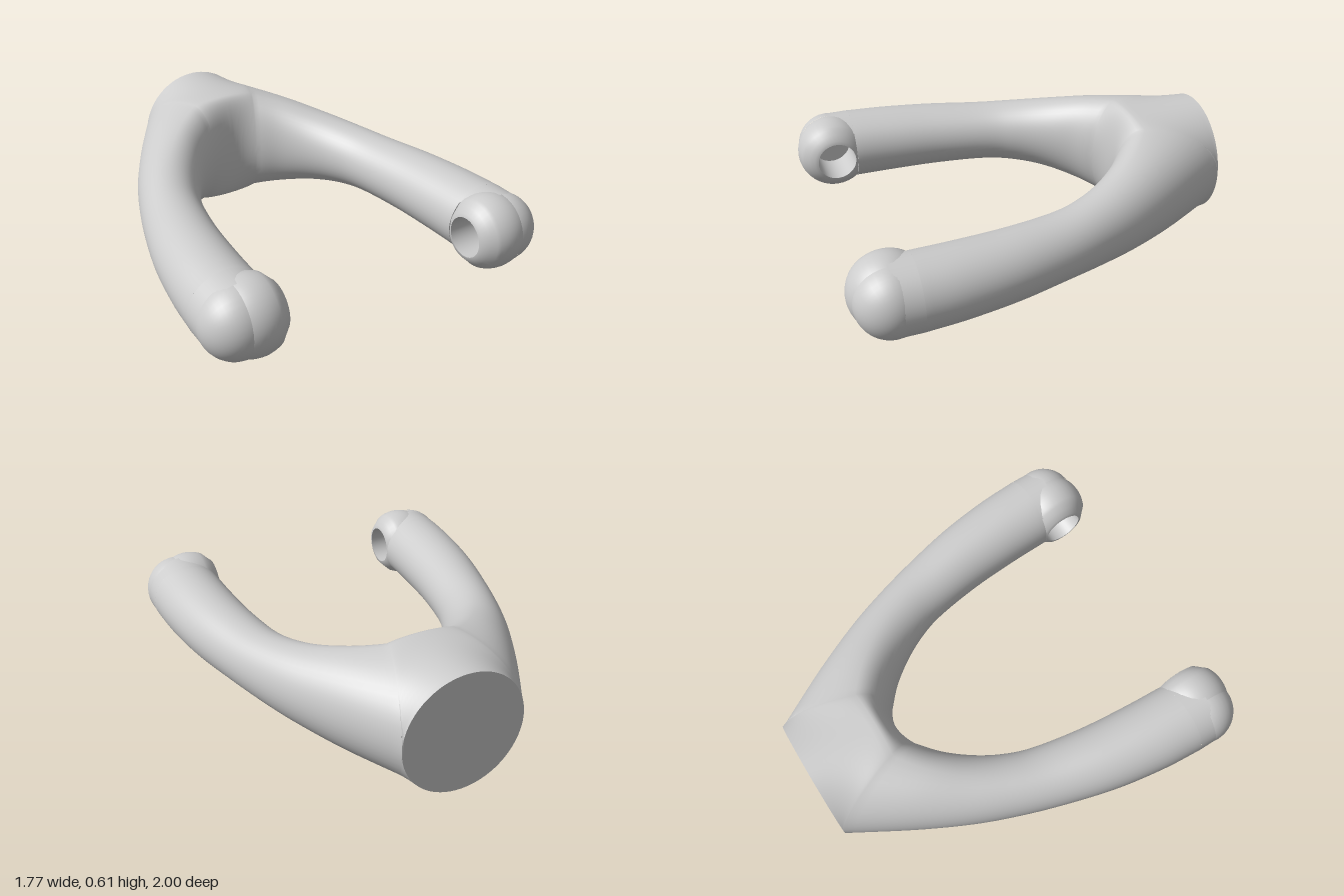
import * as THREE from 'three';
import { toCreasedNormals } from 'three/addons/utils/BufferGeometryUtils.js';

const MID = 0.309;       // height of the symmetry plane
const BACK_RX = 0.305;   // half width of the flat back disc
const BACK_RY = 0.307;   // half height of the flat back disc
const LEG_END = 0.705;   // z where the leg skin opens around the socket
const ARC = 12;          // points per quarter of a cross-section
const material = new THREE.MeshStandardMaterial({ color: 0xcccccc });
const lerp = THREE.MathUtils.lerp;

// One cross-section running from inner edge I over the ridge (at fraction a,
// half height h) to outer edge O, and back underneath. phi < PI/2 leaves the
// outer end cut open where it meets the flat back; blend pulls the outer
// end towards the back disc's height.
function section({ I, O, h, a, phi = Math.PI / 2, blend = 0 }) {
  const top = [];
  const add = (s, y) => top.push([lerp(I[0], O[0], s), y, lerp(I[1], O[1], s)]);
  for (let i = 0; i <= ARC; i++) {
    const t = (i / ARC) * Math.PI / 2;
    add(a * (1 - Math.cos(t)), h * Math.sin(t));
  }
  for (let i = 1; i <= ARC; i++) {
    const psi = phi * i / ARC;
    const k = Math.sin(psi) / Math.sin(phi);
    add(a + (1 - a) * k, lerp(h, BACK_RY, blend * k * k) * Math.cos(psi));
  }
  return [...top, ...top.map(([x, y, z]) => [x, -y, z]).reverse()];
}

function forkGeometry() {
  const rows = [];
  // Crotch: sections fan across the back disc
  const fan = 18;
  for (let i = 0; i < fan; i++) {
    const t = i / fan;
    const phi = Math.max(1e-3, t * Math.PI / 2);
    rows.push(section({
      I: [0.13 * t, -0.525 + 0.043 * t * t],
      O: [BACK_RX * Math.sin(phi), -1],
      h: lerp(0.302, 0.281, t * t),
      a: lerp(0.2, 0.28, t * t), phi, blend: 1 - 0.6 * t ** 3,
    }));
  }
  // Leg: inner x, inner z, outer x, outer z, half height, ridge fraction
  const stations = [
    [0.13, -0.482, 0.305, -1, 0.281, 0.28],
    [0.23, -0.39, 0.475, -0.70, 0.24, 0.38],
    [0.32, -0.27, 0.605, -0.44, 0.197, 0.46],
    [0.39, -0.14, 0.692, -0.22, 0.17, 0.5],
    [0.437, 0, 0.763, 0, 0.158, 0.5],
    [0.48, 0.25, 0.828, 0.25, 0.164, 0.5],
    [0.502, 0.5, 0.868, 0.5, 0.172, 0.5],
    [0.512, LEG_END, 0.884, LEG_END, 0.177, 0.5],
  ];
  const curve = (f) => new THREE.CatmullRomCurve3(
    stations.map((s) => new THREE.Vector3(...f(s))), false, 'catmullrom', 0.5);
  const inner = curve((s) => [s[0], s[4], s[1]]);
  const outer = curve((s) => [s[2], s[5], s[3]]);
  const steps = 42;
  for (let i = 0; i <= steps; i++) {
    const p = inner.getPoint(i / steps);
    const q = outer.getPoint(i / steps);
    const blend = 0.4 * Math.max(0, 1 - i / 10) ** 2;
    rows.push(section({ I: [p.x, p.z], O: [q.x, q.z], h: p.y, a: q.y, blend }));
  }
  // Flat leg end, closed to a point beside the socket
  rows.push(rows[0].map(() => [0.7, 0, LEG_END]));

  // Mirror the half into one continuous skin
  const mirrored = rows.slice(1).reverse().map((r) => r.map(([x, y, z]) => [-x, y, z]));
  const all = [...mirrored, ...rows];
  const n = rows[0].length;
  const index = [];
  for (let j = 0; j < all.length - 1; j++) {
    for (let k = 0; k < n; k++) {
      const k2 = (k + 1) % n;
      const a = j * n + k, b = (j + 1) * n + k, c = (j + 1) * n + k2, d = j * n + k2;
      index.push(a, b, c, a, c, d);
    }
  }
  const geo = new THREE.BufferGeometry();
  geo.setAttribute('position', new THREE.Float32BufferAttribute(all.flat(2), 3));
  geo.setIndex(index);
  return toCreasedNormals(geo, 0.8);
}

function mesh(name, geometry) {
  const m = new THREE.Mesh(geometry, material);
  m.name = name;
  return m;
}

// Rounded leg end with a blind socket facing the other leg
function createTip() {
  const tip = new THREE.Group();

  // Ball with the socket bored into it and a softened rim
  const R = 0.185, hole = 0.1;
  const profile = [[0, 0.06], [hole, 0.06], [hole, -0.135], [0.118, -0.13], [0.142, -0.105]];
  const start = Math.asin(-0.08 / R);
  for (let i = 0; i <= 20; i++) {
    const t = lerp(start, Math.PI / 2, i / 20);
    profile.push([Math.max(0, R * Math.cos(t)), R * Math.sin(t)]);
  }
  const ball = new THREE.LatheGeometry(profile.map((p) => new THREE.Vector2(...p)), 40);
  ball.rotateZ(-Math.PI / 2).translate(0.65, 0, 0.815);
  tip.add(mesh('socketBall', toCreasedNormals(ball, 0.6)));

  // Leg skin carried on to the tip, open on the socket side
  const half = Math.PI - 0.78;
  const length = 0.82 - LEG_END;
  const skin = new THREE.CylinderGeometry(1, 1, length, 40, 1, true, Math.PI / 2 - half, 2 * half);
  skin.rotateX(Math.PI / 2).scale(0.186, 0.177, 1).translate(0.698, 0, LEG_END + length / 2);
  tip.add(mesh('legSkin', skin));

  // Rounded outer end, matched to the leg's height
  const cap = new THREE.SphereGeometry(0.166, 32, 12, 0, Math.PI * 2, 0, Math.PI / 2);
  cap.rotateZ(-Math.PI / 2).scale(1, 1.04, 1).translate(0.72, 0, 0.82);
  tip.add(mesh('legCap', cap));
  return tip;
}

export function createModel() {
  const model = new THREE.Group();
  model.name = 'forkedBracket';
  const body = mesh('forkBody', forkGeometry());
  body.position.y = MID;
  model.add(body);
  // The tips are symmetric top to bottom, so a half turn gives the other side
  for (const [name, turn] of [['leftTip', 0], ['rightTip', Math.PI]]) {
    const tip = createTip();
    tip.name = name;
    tip.position.y = MID;
    tip.rotation.z = turn;
    model.add(tip);
  }
  return model;
}
